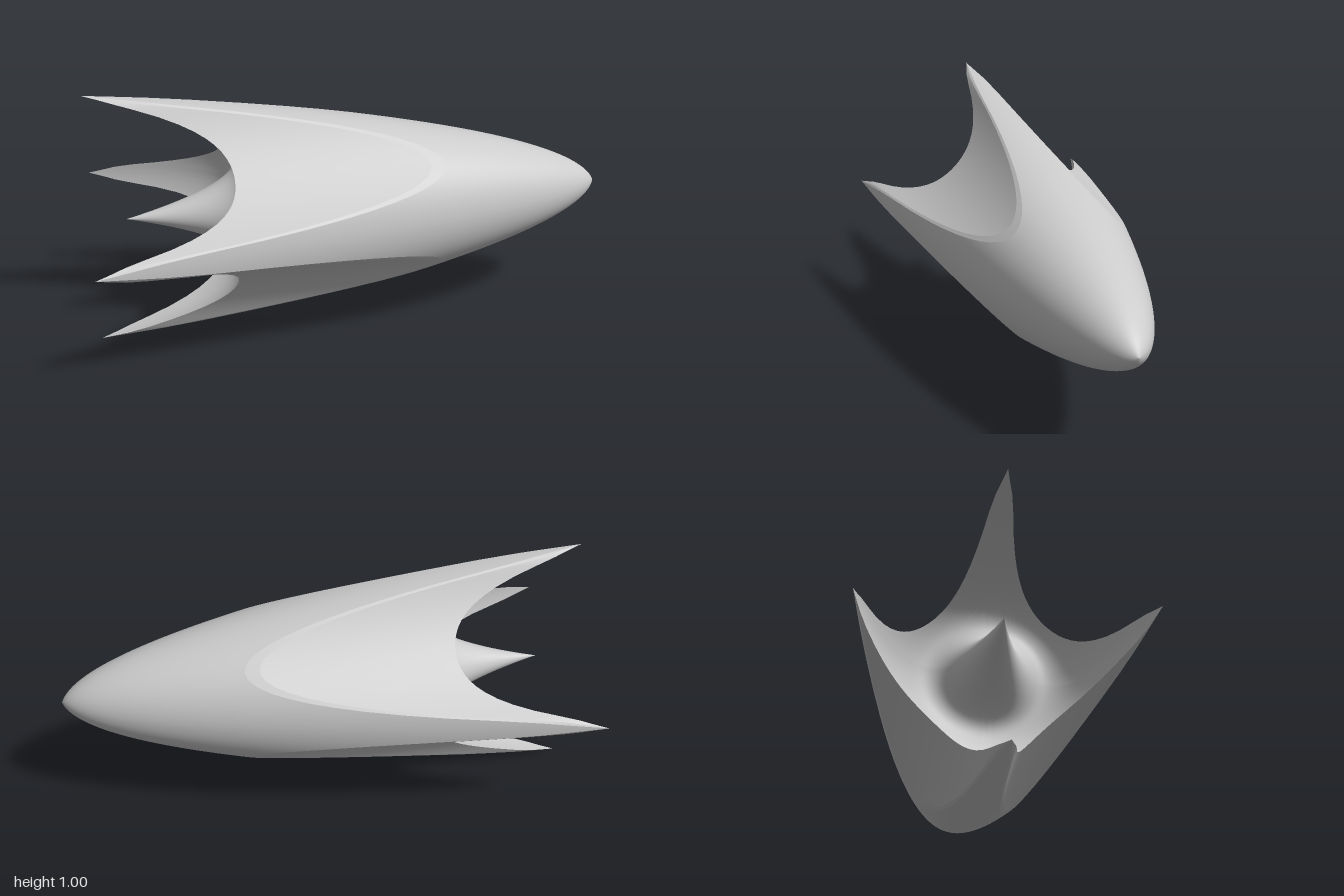
import * as THREE from 'three';

const STEPS = 32;               // columns per quarter turn
const GROOVE = 0.288;           // distance from axis to the deepest groove line
const TAPER = 0.05, NORM = Math.sqrt(1 + TAPER * TAPER) - TAPER;

// bullet profile: radius at x, and its inverse
const bodyRadius = x => 0.5 * (Math.sqrt((1 - x) / 2 + TAPER * TAPER) - TAPER) / NORM;
const bodyX = r => 1 - 2 * ((2 * r * NORM + TAPER) ** 2 - TAPER * TAPER);

// ring-shaped hollow at the tail, leaving a spike on the axis
const hollowX = r => -0.44 - (r < 0.21
  ? 0.43 * ((0.21 - r) / 0.21) ** 2.1
  : 0.56 * ((r - 0.21) / 0.29) ** 2.1);

// radius of the groove at angle phi from its centre line
function grooveRadius(phi) {
  const c = Math.cos(phi), s = Math.sin(phi);
  const arc = 2 * GROOVE / (c + Math.sqrt(c * c - 4 * GROOVE * s * s / 1.4));
  return Math.min(arc, 0.5 * Math.SQRT1_2 / c);
}

// everything one column needs: angle, groove radius, bevel start/end, tail end
function column(i) {
  const quarter = Math.floor(i / STEPS), k = (i % STEPS) / STEPS * 2 - 1;
  const phi = Math.PI / 4 * Math.sin(k * Math.PI / 2);
  const groove = grooveRadius(phi);
  const bevel = 0.003 * Math.min(1, Math.max(0, (0.5 - groove) / 0.03));
  const end = hollowX(groove);
  return {
    angle: Math.PI / 4 + phi + quarter * Math.PI / 2, groove, bevel, end,
    x1: Math.max(end, bodyX(groove - 2 * bevel)),
    x2: Math.max(end, bodyX(groove + 2 * bevel)),
  };
}

function radiusAt(col, x) {
  const r = bodyRadius(x);
  return Math.min(r, col.groove, (r + col.groove) / 2 - col.bevel);
}

const lerp = THREE.MathUtils.lerp;

// skin over columns first..first+count; profile(col, v) returns [x, radius]
function skin(name, first, count, rows, profile, material) {
  const closed = count === STEPS * 4;
  const cols = closed ? count : count + 1;
  const pos = [], index = [];
  for (let i = 0; i < cols; i++) {
    const col = column(first + i);
    for (let j = 0; j <= rows; j++) {
      const [x, r] = profile(col, j / rows);
      pos.push(x, 0.5 + r * Math.sin(col.angle), r * Math.cos(col.angle));
    }
  }
  for (let i = 0; i < count; i++) {
    for (let j = 0; j < rows; j++) {
      const a = i * (rows + 1) + j, b = ((i + 1) % cols) * (rows + 1) + j;
      index.push(a, b, a + 1, b, b + 1, a + 1);
    }
  }
  const geometry = new THREE.BufferGeometry();
  geometry.setAttribute('position', new THREE.Float32BufferAttribute(pos, 3));
  geometry.setIndex(index);
  geometry.computeVertexNormals();
  const mesh = new THREE.Mesh(geometry, material);
  mesh.name = name;
  return mesh;
}

export function createModel() {
  const group = new THREE.Group();
  group.name = 'finnedDart';
  const material = new THREE.MeshStandardMaterial({ color: 0xcccccc });

  // rounded nose running back into the four fin ridges
  group.add(skin('noseBody', 0, STEPS * 4, 40, (col, v) => {
    const x = 1 - (1 - col.x1) * v * v;
    return [x, bodyRadius(x)];
  }, material));

  // bevelled rim and scooped groove between each pair of fins
  for (let q = 0; q < 4; q++) {
    group.add(skin('grooveBevel', q * STEPS, STEPS, 2, (col, v) => {
      const x = lerp(col.x1, col.x2, v);
      return [x, radiusAt(col, x)];
    }, material));
    group.add(skin('finGroove', q * STEPS, STEPS, 12, (col, v) => {
      const x = lerp(col.x2, col.end, v);
      return [x, radiusAt(col, x)];
    }, material));
  }

  // hollow tail with the central spike
  group.add(skin('tailHollow', 0, STEPS * 4, 32, (col, v) => {
    const r = radiusAt(col, col.end) * (1 - v);
    return [v === 0 ? col.end : hollowX(r), r];
  }, material));

  return group;
}
